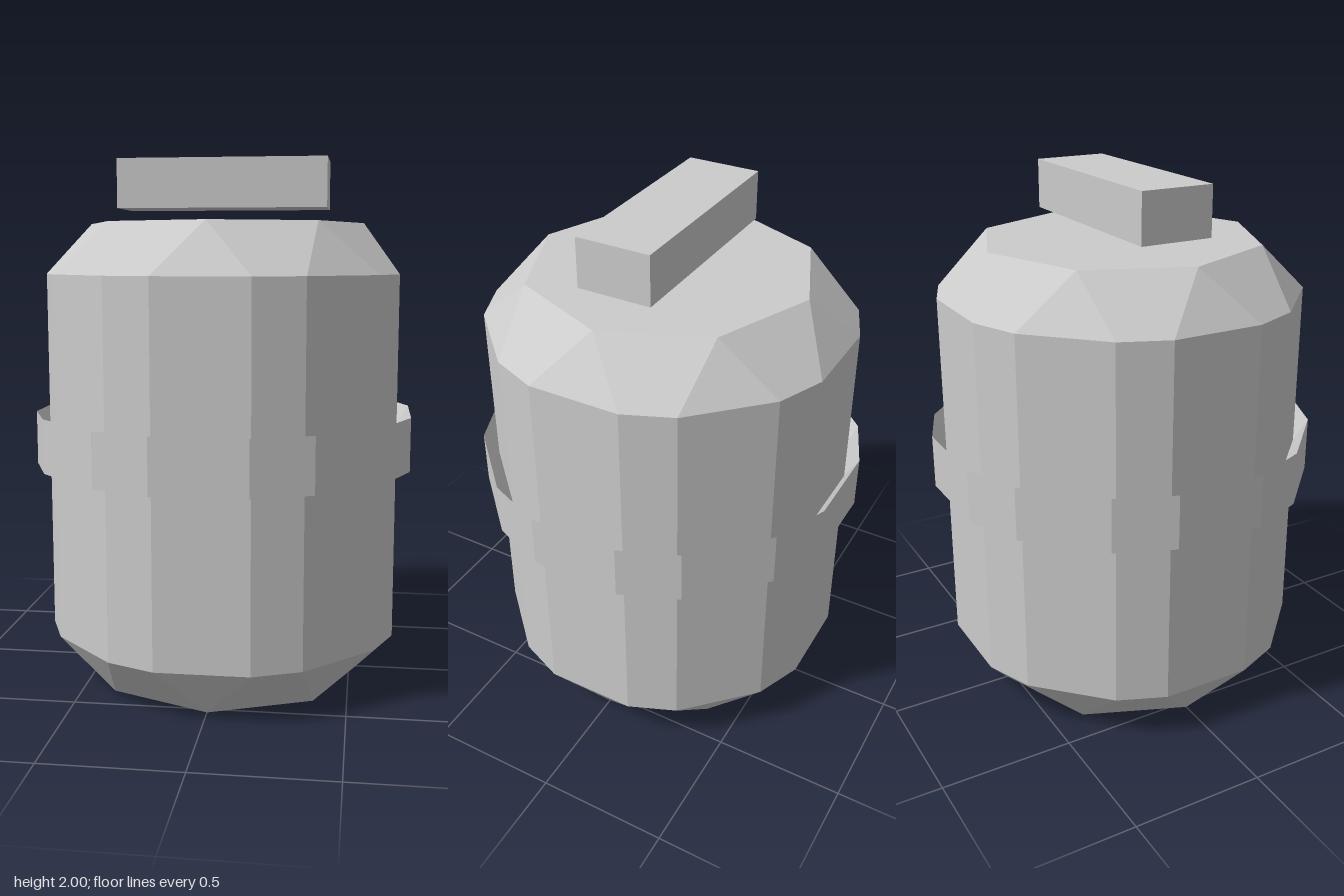
import * as THREE from 'three';

// Sixteen-sided ring: eight flats at distance r, each 2 * s wide, joined by bevels.
// With s = 0 it closes to an octagon.
function ring(r, s, y) {
  const points = [];
  for (let k = 0; k < 8; k++) {
    const a = k * Math.PI / 4, c = Math.cos(a), n = Math.sin(a);
    for (const side of [-s, s]) {
      points.push(new THREE.Vector3(c * r - n * side, y, n * r + c * side));
    }
  }
  return points;
}

// Skin rings listed from bottom to top, optionally closing both ends.
function loft(rings, capped) {
  const pos = [];
  const tri = (a, b, c) => {
    const area = b.clone().sub(a).cross(c.clone().sub(a)).length();
    if (area > 1e-6) for (const p of [a, b, c]) pos.push(p.x, p.y, p.z);
  };
  for (let i = 0; i < rings.length - 1; i++) {
    const lo = rings[i], hi = rings[i + 1];
    for (let j = 0; j < 16; j++) {
      const k = (j + 1) % 16;
      tri(lo[j], hi[j], hi[k]);
      tri(lo[j], hi[k], lo[k]);
    }
  }
  if (capped) {
    const bottom = rings[0], top = rings[rings.length - 1];
    for (let j = 1; j < 15; j++) {
      tri(bottom[0], bottom[j], bottom[j + 1]);
      tri(top[0], top[j + 1], top[j]);
    }
  }
  const geo = new THREE.BufferGeometry();
  geo.setAttribute('position', new THREE.Float32BufferAttribute(pos, 3));
  geo.computeVertexNormals();
  return geo;
}

export function createModel() {
  const model = new THREE.Group();
  const grey = new THREE.MeshStandardMaterial({ color: 0xcccccc, flatShading: true });
  const greyDouble = grey.clone();
  greyDouble.side = THREE.DoubleSide;

  const add = (name, geo, mat = grey) => {
    const mesh = new THREE.Mesh(geo, mat);
    mesh.name = name;
    model.add(mesh);
    return mesh;
  };

  // Barrel with faceted shoulders tapering to octagonal ends
  add('body', loft([
    ring(0.53, 0, 0),
    ring(0.665, 0.172, 0.195),
    ring(0.665, 0.172, 1.57),
    ring(0.53, 0, 1.76),
  ], true));

  // Raised band whose rims slope back in to the barrel
  add('band', loft([
    ring(0.66, 0.172, 0.94),
    ring(0.718, 0.172, 0.835),
    ring(0.718, 0.172, 1.04),
    ring(0.66, 0.172, 0.94),
  ], false), greyDouble);

  // Floating handle block above the lid
  add('handle', new THREE.BoxGeometry(0.79, 0.185, 0.28)).position.y = 1.9075;

  return model;
}
